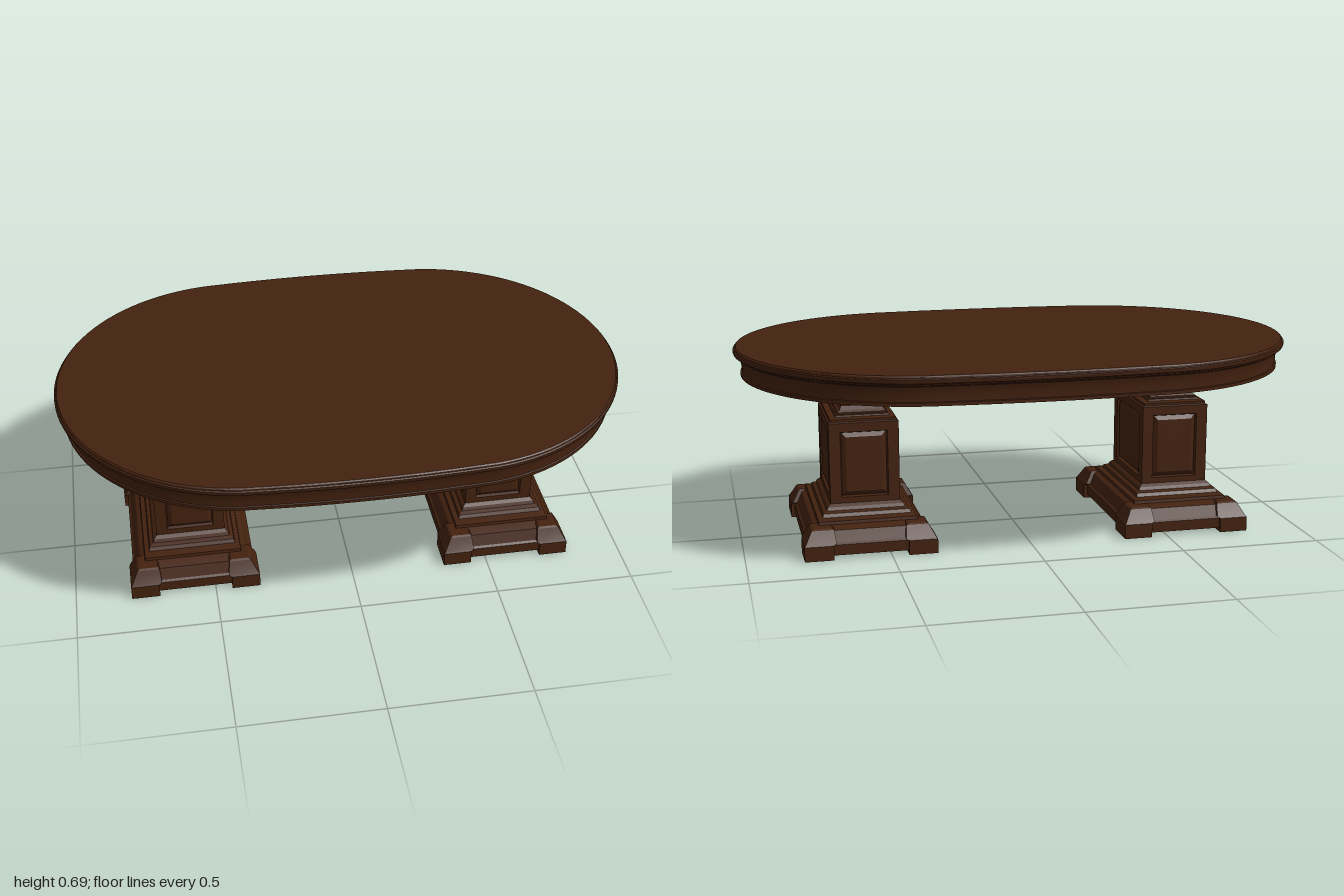
import * as THREE from 'three';
import { toCreasedNormals } from 'three/addons/utils/BufferGeometryUtils.js';

const wood = new THREE.MeshStandardMaterial({ color: 0x44220f });
wood.name = 'dark walnut';

// Skin a stack of rings (each a list of [x, y, z]) and close both ends
function loft(rings) {
  const pos = [];
  const n = rings[0].length;
  const tri = (a, b, c) => pos.push(...a, ...b, ...c);
  for (let i = 0; i < rings.length - 1; i++) {
    for (let j = 0; j < n; j++) {
      const k = (j + 1) % n;
      const a = rings[i][j], b = rings[i][k], c = rings[i + 1][j], d = rings[i + 1][k];
      tri(a, c, b);
      tri(b, c, d);
    }
  }
  const middle = (r) => [0, 1, 2].map((q) => r.reduce((s, p) => s + p[q], 0) / n);
  const first = rings[0], last = rings[rings.length - 1];
  const m0 = middle(first), m1 = middle(last);
  for (let j = 0; j < n; j++) {
    const k = (j + 1) % n;
    tri(m0, first[j], first[k]);
    tri(m1, last[k], last[j]);
  }
  const g = new THREE.BufferGeometry();
  g.setAttribute('position', new THREE.Float32BufferAttribute(pos, 3));
  return toCreasedNormals(g, 0.4);
}

const rect = (x0, x1, z0, z1, y) => [[x1, y, z0], [x1, y, z1], [x0, y, z1], [x0, y, z0]];

// Rows of [half x, half z, y]
const rectLoft = (rows) => loft(rows.map(([hx, hz, y]) => rect(-hx, hx, -hz, hz, y)));

function add(parent, name, geometry) {
  const mesh = new THREE.Mesh(geometry, wood);
  mesh.name = name;
  parent.add(mesh);
  return mesh;
}

// Oval outline: round ends joined by gently bowed long sides, grown by d
function ovalRing(d, y) {
  const cx = 0.345, r = 0.655, sweep = 1.456, ends = 48, sides = 16, flat = 0.42;
  const pts = [];
  for (const s of [1, -1]) {
    for (let i = 0; i <= ends; i++) {
      const t = -sweep + (2 * sweep * i) / ends;
      pts.push([s * (cx + (r + d) * Math.cos(t)), y, s * (r + d) * Math.sin(t)]);
    }
    for (let i = 1; i < sides; i++) {
      const u = 1 - (2 * i) / sides;
      pts.push([s * flat * u, y, s * (0.65 + 0.017 * (1 - u * u) + d)]);
    }
  }
  return pts;
}

// Raised-and-fielded panel with its frame, facing +z
function panelGeometry(w, h, pw, ph) {
  const g = rectLoft([
    [w, h, -0.02], [w, h, 0], [pw, ph, 0], [pw - 0.004, ph - 0.004, -0.012],
    [pw - 0.019, ph - 0.019, -0.003],
  ]);
  return g.rotateX(Math.PI / 2);
}

const HX = 0.123, HZ = 0.177; // column half sizes

function createPedestal() {
  const g = new THREE.Group();
  g.name = 'pedestal';

  // Base plinth with stepped mouldings
  add(g, 'base', rectLoft([
    [0.218, 0.316, 0.013], [0.218, 0.316, 0.05], [0.21, 0.308, 0.056], [0.19, 0.29, 0.095],
    [0.178, 0.262, 0.102], [0.174, 0.252, 0.104], [0.172, 0.25, 0.115], [0.155, 0.22, 0.12],
    [0.152, 0.212, 0.132], [0.138, 0.196, 0.137], [0.134, 0.19, 0.148], [HX, HZ, 0.157],
  ]));

  // Corner feet
  for (const sx of [1, -1]) {
    for (const sz of [1, -1]) {
      const foot = (xi, xo, zi, zo, y) => {
        const xs = [sx * xi, sx * xo].sort((a, b) => a - b);
        const zs = [sz * zi, sz * zo].sort((a, b) => a - b);
        return rect(...xs, ...zs, y);
      };
      add(g, 'foot', loft([
        foot(0.13, 0.231, 0.21, 0.33, 0), foot(0.13, 0.231, 0.21, 0.33, 0.052),
        foot(0.12, 0.226, 0.2, 0.325, 0.058), foot(0.125, 0.203, 0.215, 0.3, 0.1),
        foot(0.13, 0.196, 0.22, 0.292, 0.104),
      ]));
    }
  }

  // Column core and four panelled faces
  add(g, 'columnCore', rectLoft([[HX - 0.015, HZ - 0.015, 0.15], [HX - 0.015, HZ - 0.015, 0.45]]));
  for (let i = 0; i < 4; i++) {
    const wide = i % 2 === 1;
    const w = wide ? HZ : HX, out = wide ? HX : HZ;
    const panel = add(g, 'columnPanel', panelGeometry(w, 0.145, w - 0.04, 0.117));
    const a = (i * Math.PI) / 2;
    panel.rotation.y = a;
    panel.position.set(Math.sin(a) * out, 0.295, Math.cos(a) * out);
  }

  // Neck and capital: inset from the column, height
  const neck = [
    [0, 0.438], [0, 0.444], [-0.007, 0.448], [-0.007, 0.456], [-0.028, 0.46], [-0.03, 0.466],
    [-0.036, 0.468], [-0.036, 0.474], [-0.046, 0.482], [-0.051, 0.494], [-0.05, 0.508],
    [-0.043, 0.522], [-0.036, 0.529], [-0.036, 0.537], [-0.02, 0.539], [-0.02, 0.545],
    [-0.014, 0.552], [-0.009, 0.566], [-0.006, 0.578], [0, 0.582], [0, 0.6],
  ];
  add(g, 'neckAndCapital', rectLoft(neck.map(([d, y]) => [HX + d, HZ + d, y])));
  return g;
}

export function createModel() {
  const model = new THREE.Group();
  model.name = 'ovalTable';

  // Apron and moulded top: outline offset, height
  const apron = [[-0.024, 0.592], [-0.024, 0.603], [-0.029, 0.605], [-0.028, 0.63], [-0.024, 0.65], [-0.018, 0.664]];
  const top = [
    [-0.018, 0.658], [-0.012, 0.662], [-0.01, 0.667], [-0.002, 0.67], [0, 0.675], [0, 0.683],
    [-0.005, 0.686], [-0.006, 0.691], [-0.01, 0.695],
  ];
  add(model, 'apron', loft(apron.map(([d, y]) => ovalRing(d, y))));
  add(model, 'tableTop', loft(top.map(([d, y]) => ovalRing(d, y))));

  for (const side of [1, -1]) {
    const pedestal = createPedestal();
    pedestal.name = side > 0 ? 'leftPedestal' : 'rightPedestal';
    pedestal.position.x = side * 0.571;
    model.add(pedestal);
  }
  return model;
}
